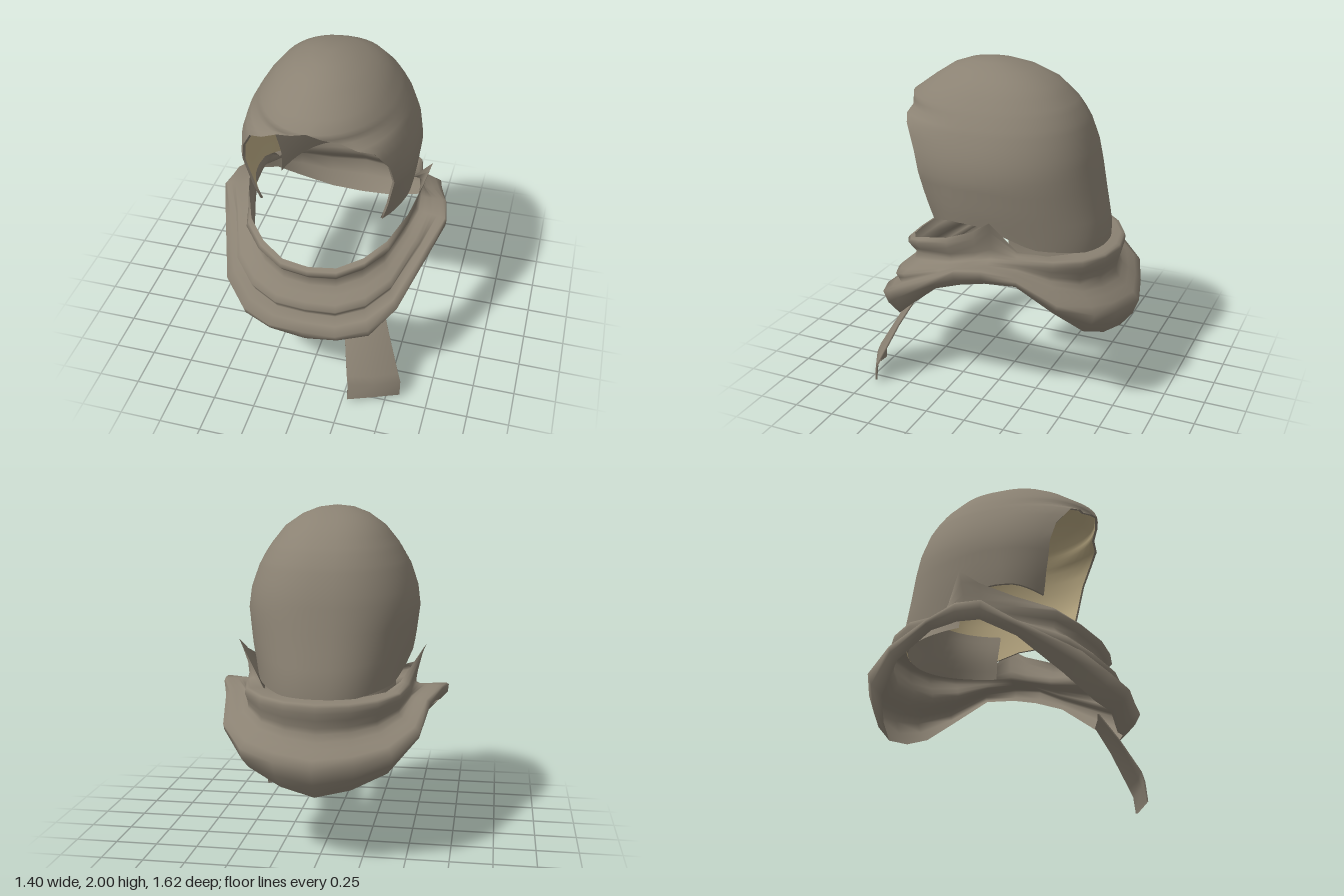
import * as THREE from 'three';
import { mergeVertices } from 'three/addons/utils/BufferGeometryUtils.js';

const cloth = new THREE.MeshStandardMaterial({ color: 0x8b8273, side: THREE.DoubleSide });
cloth.name = 'brownCloth';
const liningCloth = new THREE.MeshStandardMaterial({ color: 0xb6a680, side: THREE.DoubleSide });
liningCloth.name = 'tanLining';

// Smooth surface through rows of points
function loft(name, rows, material) {
  const n = rows[0].length, index = [];
  for (let i = 0; i < rows.length - 1; i++)
    for (let j = 0; j < n - 1; j++) {
      const a = i * n + j, b = a + 1, c = a + n, d = c + 1;
      index.push(a, c, b, b, c, d);
    }
  let g = new THREE.BufferGeometry();
  g.setAttribute('position', new THREE.Float32BufferAttribute(rows.flat(2), 3));
  g.setIndex(index);
  g = mergeVertices(g, 1e-4);
  g.computeVertexNormals();
  const mesh = new THREE.Mesh(g, material);
  mesh.name = name;
  return mesh;
}

// Linear lookup in a table whose first column ascends
function look(table, x, k) {
  let i = 0;
  while (i < table.length - 2 && x > table[i + 1][0]) i++;
  const a = table[i], b = table[i + 1];
  const t = Math.min(1, Math.max(0, (x - a[0]) / (b[0] - a[0])));
  return a[k] + (b[k] - a[k]) * t;
}

// Hood sections: height, half width, front z, back z, brim angle in degrees
const SECTIONS = [
  [0.88, 0.44, 0.48, -0.60, 51], [1.05, 0.46, 0.50, -0.60, 51], [1.2, 0.49, 0.59, -0.565, 55],
  [1.4, 0.515, 0.715, -0.525, 58.7], [1.52, 0.50, 0.75, -0.50, 57], [1.65, 0.455, 0.77, -0.455, 50],
  [1.715, 0.42, 0.625, -0.42, 25], [1.78, 0.38, 0.63, -0.375, 0], [1.88, 0.30, 0.49, -0.27, 0],
  [1.95, 0.20, 0.38, -0.13, 0], [1.985, 0.11, 0.28, 0.0, 0], [2.0, 0, 0.13, 0.13, 0],
];
// Lower hem height by angle from the front
const HEM = [[50, 1.08], [75, 1.13], [95, 1.13], [120, 1.0], [180, 0.93]];

// The back half is slightly squarer than an ellipse
const soften = v => Math.sign(v) * Math.abs(v) ** 0.88;

function hoodPoint(y, deg, inset) {
  const w = Math.max(0, look(SECTIONS, y, 1) - inset);
  const f = look(SECTIONS, y, 2), b = look(SECTIONS, y, 3);
  const zc = y > 1.9 ? 0.1 + 0.03 * (y - 1.9) / 0.1 : 0.1;
  const a = deg * Math.PI / 180, front = Math.cos(a) > 0;
  const s = front ? Math.sin(a) : soften(Math.sin(a));
  const c = front ? Math.cos(a) : soften(Math.cos(a));
  const reach = Math.max(0, (front ? f - zc : zc - b) - inset);
  return [w * s, y - (y > 1.7 ? inset * (y - 1.7) / 0.3 : 0), zc + reach * c];
}

const LEVELS = [2, 1.985, 1.95, 1.915, 1.88, 1.83, 1.78, 1.7475, 1.715, 1.6825, 1.65, 1.585, 1.52, 1.46, 1.4];
const BRIM_ROW = LEVELS.indexOf(1.78);

function hoodRows(inset) {
  const rows = [], cols = 40;
  const addRow = (yAt, brimY) => {
    const start = look(SECTIONS, brimY, 4), row = [];
    for (let j = 0; j <= cols; j++) {
      const deg = start + (360 - 2 * start) * j / cols;
      row.push(hoodPoint(yAt(Math.min(deg, 360 - deg)), deg, inset));
    }
    rows.push(row);
  };
  for (const y of LEVELS) addRow(() => y, y);
  for (let k = 1; k <= 5; k++) addRow(d => 1.4 + (look(HEM, d, 1) - 1.4) * k / 5, 1.4 - 0.32 * k / 5);
  return rows;
}

// Edge of the hood from brim peak, round the hem and back up
function hoodEdge(rows) {
  const side = rows.slice(BRIM_ROW), last = rows[0].length - 1;
  return [...side.map(r => r[0]), ...rows[rows.length - 1], ...side.map(r => r[last]).reverse()];
}

// Scarf stations, front to back: collar edge, widest hem, tucked under edge,
// fold style (0 front, 1 side, 2 back)
const STATIONS = [
  [[0, .86, .63], [0, .50, .80], [0, .34, .69], 0],
  [[.16, .87, .61], [.20, .51, .80], [.20, .39, .69], 0],
  [[.30, .91, .53], [.38, .54, .73], [.36, .40, .63], 0],
  [[.41, .97, .42], [.52, .63, .60], [.47, .54, .48], .1],
  [[.49, 1.03, .22], [.64, .81, .26], [.58, .74, .25], .5],
  [[.54, 1.12, .02], [.70, .92, .08], [.65, .83, .06], .9],
  [[.57, 1.20, -.09], [.67, .93, -.08], [.62, .85, -.08], 1],
  [[.43, .99, -.20], [.61, .89, -.27], [.57, .84, -.25], 1.7],
  [[.36, .96, -.36], [.57, .77, -.50], [.53, .70, -.46], 2],
  [[.27, .96, -.47], [.43, .68, -.68], [.40, .55, -.60], 2],
  [[.15, .96, -.55], [.23, .63, -.75], [.20, .46, -.66], 2],
  [[0, .96, -.57], [0, .61, -.81], [0, .42, -.70], 2],
];
// Fold profiles: position from collar to hem, push outwards
const FOLDS = [
  [[0, 0], [.06, .015], [.117, .02], [.16, -.02], [.19, -.052], [.3, -.055], [.42, -.04],
    [.55, -.018], [.65, -.01], [.69, -.035], [.74, -.06], [.87, -.03], [1, 0]],
  [[0, 0], [.15, -.04], [.3, -.08], [.45, -.11], [.57, -.13], [.64, -.12], [.7, -.1],
    [.75, -.08], [.79, -.063], [.85, -.035], [.9, -.015], [.95, 0], [1, 0]],
  [[0, 0], [.06, .03], [.12, .055], [.156, .069], [.2, .065], [.27, .05], [.34, .02],
    [.42, -.01], [.49, -.028], [.6, -.028], [.72, -.018], [.86, -.005], [1, 0]],
];

function scarfSection([a, b, c, style]) {
  const r = Math.hypot(b[0], b[2]), n = [b[0] / r, 0.6, b[2] / r];
  const i = Math.min(1, Math.floor(style)), mix = style - i;
  const points = FOLDS[i].map((from, k) => {
    const [t, push] = from.map((v, m) => v + (FOLDS[i + 1][k][m] - v) * mix);
    return a.map((v, m) => v + (b[m] - v) * t + n[m] * push);
  });
  const mid = b.map((v, k) => v + (c[k] - v) * 0.5 + (k === 1 ? 0 : n[k] * 0.02));
  return [...points, mid, c];
}

export function createModel() {
  const model = new THREE.Group();
  model.name = 'hoodAndScarf';

  // Hood shell, lining and the narrow edge joining them
  const outer = hoodRows(0), inner = hoodRows(0.015);
  model.add(loft('hood', outer, cloth));
  model.add(loft('hoodLining', inner.map(r => [...r].reverse()), liningCloth));
  model.add(loft('hoodEdge', [hoodEdge(outer), hoodEdge(inner)], cloth));

  // Neck cloth inside the back of the hood, leaning forward in two soft lobes
  const nape = [];
  for (let i = 0; i <= 6; i++) {
    const y = 1.23 - 0.31 * i / 6, row = [];
    for (let j = 0; j <= 24; j++) {
      const deg = 108 + 6 * j, s = Math.abs(deg - 180) * Math.PI / 180;
      const lean = 0.06 * (1 - i / 6) * Math.cos(s);
      const lobe = 0.03 * Math.sin(Math.PI * i / 6) * Math.sin(2 * s);
      row.push(hoodPoint(y, deg, 0.025 + lean + lobe));
    }
    nape.push(row.reverse());
  }
  model.add(loft('neckCloth', nape, cloth));

  // Folded scarf ring, mirrored across x
  const half = STATIONS.map(scarfSection);
  const mirrored = half.slice(0, -1).reverse().map(s => s.map(([x, y, z]) => [-x, y, z]));
  model.add(loft('scarf', [...half, ...mirrored], cloth));

  // Loose scarf end hanging at the front
  const tail = [
    [[.18, .53, .56], [.30, .54, .54], [.42, .53, .50]],
    [[.23, .37, .67], [.35, .38, .64], [.48, .38, .58]],
    [[.27, .18, .78], [.41, .18, .75], [.56, .17, .67]],
    [[.28, .12, .795], [.43, .13, .765], [.58, .12, .69]],
    [[.28, .005, .805], [.43, .04, .78], [.58, .02, .70]],
  ];
  const back = tail.map(r => r.map(([x, y, z]) => [x - .004, y, z - .012]).reverse());
  model.add(loft('scarfEnd', tail.map((r, i) => [...r, ...back[i], r[0]]), cloth));

  return model;
}
